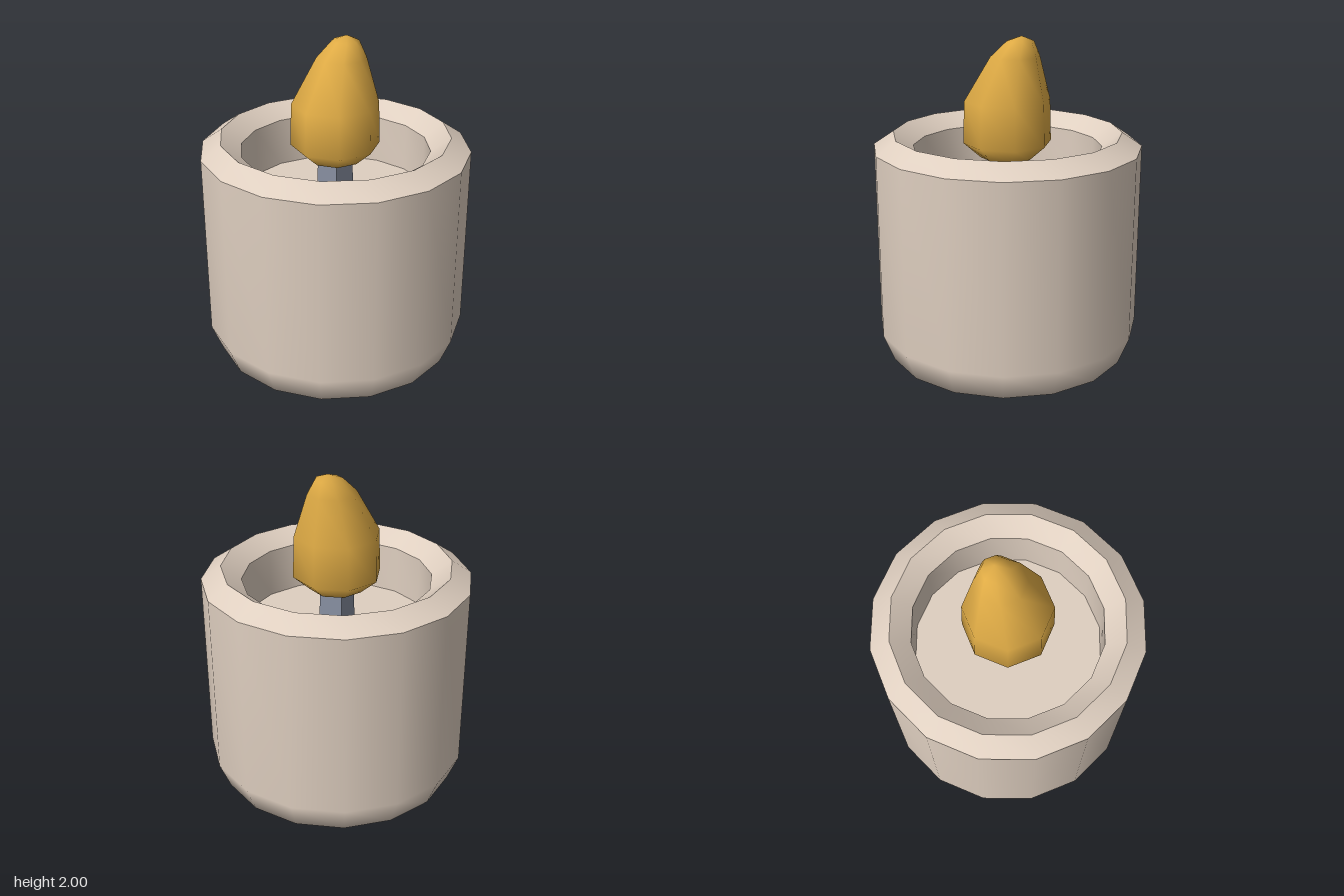
import * as THREE from 'three';
import { mergeVertices } from 'three/addons/utils/BufferGeometryUtils.js';

// Smooth surface of revolution with a welded seam; bend(y) shifts rings along x
function turned(profile, sides, start = 0, bend = null) {
  const raw = new THREE.LatheGeometry(profile.map(([r, y]) => new THREE.Vector2(r, y)), sides, start);
  raw.deleteAttribute('uv');
  raw.deleteAttribute('normal');
  const pos = raw.attributes.position;
  if (bend) {
    for (let i = 0; i < pos.count; i++) pos.setX(i, pos.getX(i) + bend(pos.getY(i)));
  }
  const geo = mergeVertices(raw, 1e-4);
  geo.computeVertexNormals();
  return geo;
}

export function createModel() {
  const wax = new THREE.MeshStandardMaterial({ color: 0xdfcfc0 });
  wax.name = 'wax';
  const flameGold = new THREE.MeshStandardMaterial({ color: 0xdfab45 });
  flameGold.name = 'flameGold';
  const wickGrey = new THREE.MeshStandardMaterial({ color: 0x868e9f });
  wickGrey.name = 'wickGrey';

  const model = new THREE.Group();
  model.name = 'candle';
  const add = (name, geo, material) => {
    const mesh = new THREE.Mesh(geo, material);
    mesh.name = name;
    model.add(mesh);
  };

  // Wax body: separate bands keep the rim edges sharp
  const bands = {
    outerBody: [[0, 0], [0.555, 0], [0.73, 0.07], [0.795, 0.235], [0.795, 1.35]],
    outerBevel: [[0.795, 1.35], [0.677, 1.43]],
    innerBevel: [[0.677, 1.43], [0.56, 1.345]],
    wellWall: [[0.56, 1.345], [0.56, 1.05]],
    wellFloor: [[0.56, 1.05], [0, 1.05]],
  };
  for (const [name, profile] of Object.entries(bands)) {
    add(name, turned(profile, 16, Math.PI / 16), wax);
  }

  // Square, slightly tapered wick
  const wick = new THREE.CylinderGeometry(0.1, 0.11, 0.27, 4, 1, false, Math.PI / 4).toNonIndexed();
  wick.computeVertexNormals();
  wick.translate(0, 1.185, 0);
  add('wick', wick, wickGrey);

  // Flame leaning towards +x: [radius, height, lean]
  const rings = [
    [0, 1.27, 0], [0.16, 1.28, 0], [0.263, 1.37, 0], [0.255, 1.62, 0],
    [0.145, 1.88, 0.055], [0.08, 1.97, 0.09], [0, 2, 0.1],
  ];
  const lean = (y) => rings.find((r) => Math.abs(r[1] - y) < 1e-3)[2];
  add('flame', turned(rings, 8, 0, lean), flameGold);

  return model;
}
